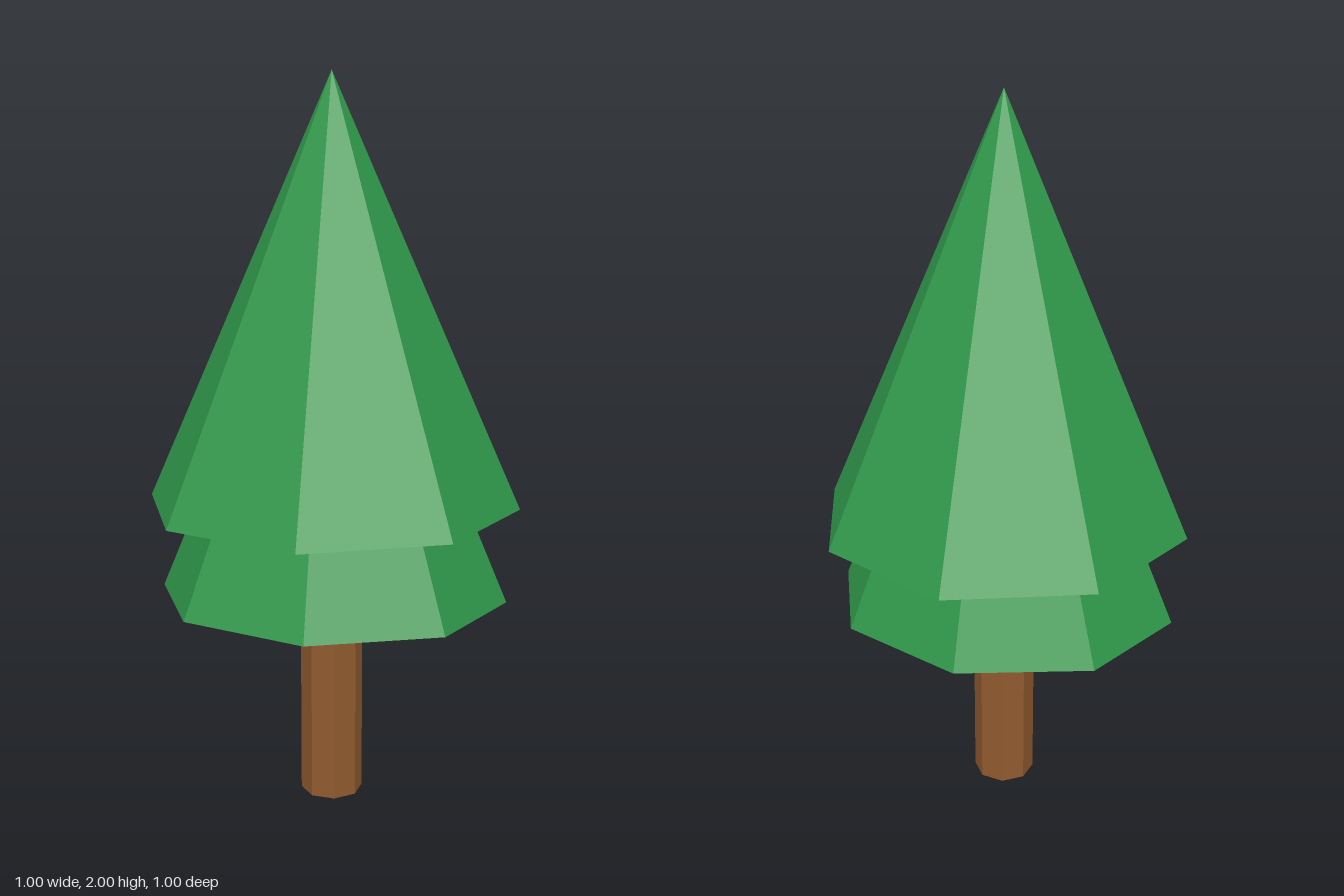
import * as THREE from 'three';

const SIDES = 8;

export function createModel() {
  const tree = new THREE.Group();
  tree.name = 'pineTree';

  const needles = new THREE.MeshStandardMaterial({ color: 0x30994b });
  needles.name = 'needle green';
  const bark = new THREE.MeshStandardMaterial({ color: 0x915b2f });
  bark.name = 'bark brown';

  // Adds one mesh with a hard-edged facet per side
  const add = (name, geometry, material) => {
    const flat = geometry.toNonIndexed();
    flat.computeVertexNormals();
    const mesh = new THREE.Mesh(flat, material);
    mesh.name = name;
    tree.add(mesh);
  };

  // Closed eight-sided cone; the corners (1, 0) and (0, 1) of its unit base
  // are carried to the given [x, z] points, which may make it slightly oval
  const foliage = (name, bottom, top, sideCorner, frontCorner) => {
    const geometry = new THREE.ConeGeometry(1, 1, SIDES);
    geometry.translate(0, 0.5, 0);
    geometry.applyMatrix4(new THREE.Matrix4().set(
      sideCorner[0], 0, frontCorner[0], 0,
      0, top - bottom, 0, bottom,
      sideCorner[1], 0, frontCorner[1], 0,
      0, 0, 0, 1
    ));
    add(name, geometry, needles);
  };

  // Trunk, ending just inside the lower foliage
  const trunk = new THREE.CylinderGeometry(0.087, 0.087, 0.64, SIDES);
  trunk.translate(0, 0.32, 0);
  add('trunk', trunk, bark);

  // Two overlapping tiers of foliage
  foliage('lowerFoliage', 0.583, 1.735, [0.435, 0.143], [-0.085, 0.45]);
  foliage('upperFoliage', 0.848, 2, [0.5, 0.13], [-0.13, 0.5]);

  return tree;
}
